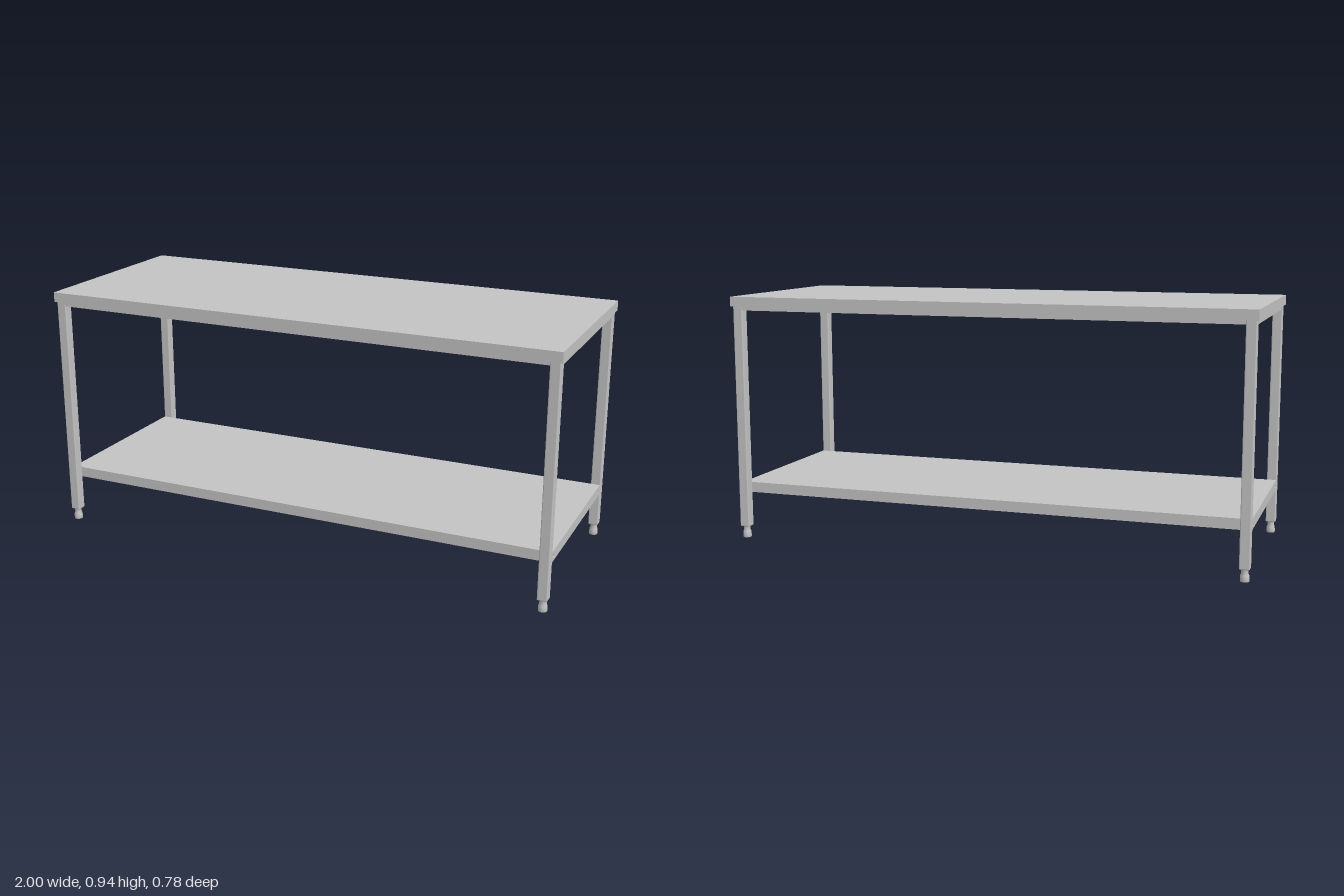
import * as THREE from 'three';
import { RoundedBoxGeometry } from 'three/addons/geometries/RoundedBoxGeometry.js';

export function createModel() {
  const steel = new THREE.MeshStandardMaterial({ color: 0xc4c4c4 });
  steel.name = 'brushed steel';
  const table = new THREE.Group();
  table.name = 'workTable';

  const add = (name, geometry, x, y, z, parent = table) => {
    const mesh = new THREE.Mesh(geometry, steel);
    mesh.name = name;
    mesh.position.set(x, y, z);
    parent.add(mesh);
    return mesh;
  };
  const box = (name, w, h, d, x, y, z, parent) =>
    add(name, new THREE.BoxGeometry(w, h, d), x, y, z, parent);

  const sheet = 0.004;
  const legX = 0.974, legZ = 0.3625, legSize = 0.038;

  // Folded worktop: sheet with a turned-down rim
  const top = new THREE.Group();
  top.name = 'worktop';
  table.add(top);
  box('topSheet', 2, sheet, 0.776, 0, 0.943, 0, top);
  for (const s of [-1, 1]) {
    box('longRim', 2, 0.036, sheet, 0, 0.925, s * 0.386, top);
    box('shortRim', sheet, 0.036, 0.768, s * 0.998, 0.925, 0, top);
  }

  // Square tube rails joining the legs under the top
  for (const s of [-1, 1]) {
    box('longRail', 1.91, 0.044, legSize, 0, 0.915, s * legZ);
    box('shortRail', legSize, 0.044, 0.687, s * legX, 0.915, 0);
  }

  // Legs with adjustable turned feet
  const footProfile = [
    [0, 0], [0.0145, 0], [0.0165, 0.002], [0.0165, 0.012], [0.0155, 0.024],
    [0.013, 0.029], [0.013, 0.044], [0.0155, 0.046], [0, 0.046],
  ].map(([r, y]) => new THREE.Vector2(r, y));
  for (const sx of [-1, 1]) {
    for (const sz of [-1, 1]) {
      add('leg', new RoundedBoxGeometry(legSize, 0.896, legSize, 2, 0.004),
        sx * legX, 0.493, sz * legZ);
      add('foot', new THREE.LatheGeometry(footProfile, 20), sx * legX, 0, sz * legZ);
    }
  }

  // Shelf: a tray turned downwards between the front and back legs
  const shelf = new THREE.Group();
  shelf.name = 'shelf';
  table.add(shelf);
  box('shelfSheet', 1.982, sheet, 0.684, 0, 0.215, 0, shelf);
  for (const s of [-1, 1]) {
    box('longFlange', 1.974, 0.036, sheet, 0, 0.195, s * 0.34, shelf);
  }

  // End flanges with a bolt hole near each leg
  const end = new THREE.Shape();
  end.moveTo(-0.342, -0.018);
  end.lineTo(0.342, -0.018);
  end.lineTo(0.342, 0.018);
  end.lineTo(-0.342, 0.018);
  end.closePath();
  for (const s of [-1, 1]) {
    const hole = new THREE.Path();
    hole.absarc(s * 0.32, 0, 0.007, 0, Math.PI * 2, true);
    end.holes.push(hole);
  }
  const endGeometry = new THREE.ExtrudeGeometry(end, { depth: sheet, bevelEnabled: false, curveSegments: 8 });
  endGeometry.translate(0, 0, -sheet / 2);
  endGeometry.rotateY(Math.PI / 2);
  for (const s of [-1, 1]) add('endFlange', endGeometry, s * 0.989, 0.195, 0, shelf);

  return table;
}
